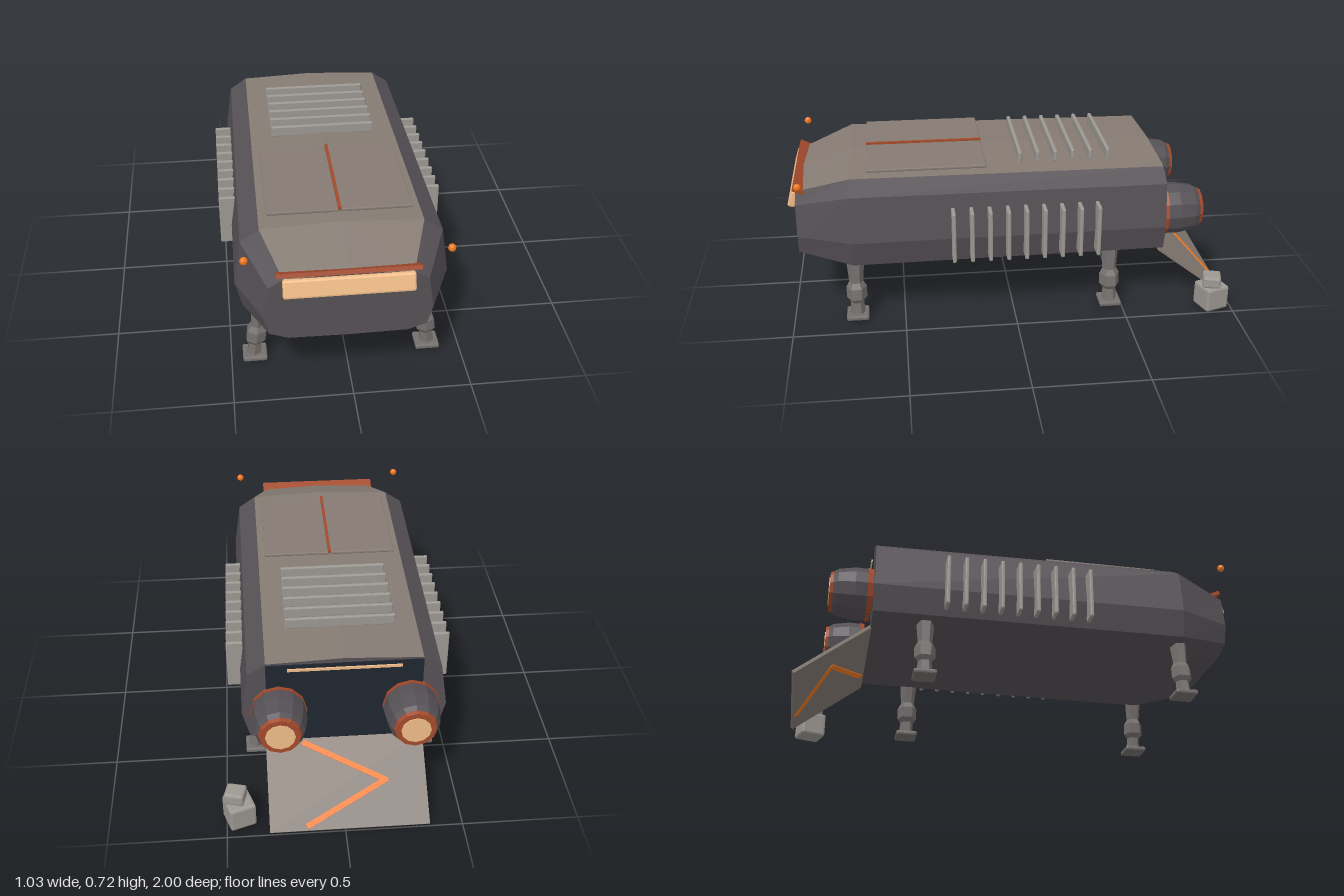
import * as THREE from 'three';
import { RoundedBoxGeometry } from 'three/addons/geometries/RoundedBoxGeometry.js';

const paint = (color) => new THREE.MeshStandardMaterial({ color, flatShading: true });

export function createModel() {
  const model = new THREE.Group();
  model.name = 'dropship';
  const ship = new THREE.Group();
  ship.name = 'ship';
  ship.position.x = -0.02;
  model.add(ship);

  const body = paint(0x555055), roofPaint = paint(0x857b73), metal = paint(0x9c9892);
  const legPaint = paint(0x74706e), orange = paint(0xa34a2c), bright = paint(0xf07820);
  const glow = paint(0xf0bc88), dark = paint(0x1f2630);

  const add = (name, geo, mat, x, y, z, parent = ship) => {
    const mesh = new THREE.Mesh(geo, mat);
    mesh.name = name;
    mesh.position.set(x, y, z);
    parent.add(mesh);
    return mesh;
  };
  const box = (w, h, d) => new THREE.BoxGeometry(w, h, d);
  const bevelBox = (w, h, d, r) => new RoundedBoxGeometry(w, h, d, 1, r);

  // Hull: one faceted section, scaled at three stations from tail to nose
  const half = [[0, 0.685], [0.34, 0.67], [0.42, 0.615], [0.45, 0.41], [0.42, 0.29], [0.32, 0.25], [0, 0.245]];
  const section = [...half, ...half.slice(1, -1).reverse().map(([x, y]) => [-x, y])];
  const n = section.length;
  const rings = [[-0.68, 0.97, 0.97], [0.72, 1, 1], [0.96, 0.767, 0.7]].map(([z, sx, sy]) =>
    section.map(([x, y]) => [x * sx, 0.4 + (y - 0.4) * sy, z]));
  const skin = (name, mat, isPart, caps) => {
    const pos = [];
    const tri = (...pts) => pts.forEach((p) => pos.push(...p));
    for (let i = 0; i < n; i++) {
      const j = (i + 1) % n;
      if (isPart(i)) {
        for (let r = 0; r < 2; r++) {
          const a = rings[r], b = rings[r + 1];
          tri(a[i], b[i], b[j]);
          tri(a[i], b[j], a[j]);
        }
      }
      if (caps) {
        tri([0, 0.42, -0.68], rings[0][i], rings[0][j]);
        tri([0, 0.42, 0.96], rings[2][j], rings[2][i]);
      }
    }
    const geo = new THREE.BufferGeometry();
    geo.setAttribute('position', new THREE.Float32BufferAttribute(pos, 3));
    geo.computeVertexNormals();
    add(name, geo, mat, 0, 0, 0);
  };
  const isRoof = (i) => i === 0 || i === n - 1;
  skin('roof', roofPaint, isRoof, false);
  skin('hull', body, (i) => !isRoof(i), true);

  // Roof hatch with centre seam
  add('roofHatch', bevelBox(0.61, 0.014, 0.53, 0.004), roofPaint, 0, 0.688, 0.38);
  add('hatchSeam', box(0.013, 0.014, 0.53), orange, 0, 0.697, 0.38);

  // Cooling fins on roof and flanks
  for (let i = 0; i < 6; i++) {
    add('roofFin', bevelBox(0.475, 0.05, 0.017, 0.005), metal, 0, 0.695, -0.043 - i * 0.08);
  }
  for (let i = 0; i < 9; i++) {
    for (const s of [-1, 1]) {
      add('sideFin', bevelBox(0.075, 0.235, 0.017, 0.005), metal, s * 0.46, 0.433, 0.275 - i * 0.08);
    }
  }

  // Cockpit window and visor
  add('cockpitWindow', bevelBox(0.53, 0.08, 0.034, 0.009), glow, 0, 0.553, 0.973).rotation.x = -0.3;
  add('visor', box(0.58, 0.018, 0.058), orange, 0, 0.6, 0.943).rotation.x = -0.45;

  // Rear bulkhead and light strip
  add('rearBulkhead', box(0.66, 0.4, 0.012), dark, 0, 0.455, -0.68);
  add('rearLight', box(0.48, 0.012, 0.012), glow, 0, 0.632, -0.686);

  // Engine, landing legs and beacons, mirrored across the hull
  const lathe = (pts, sides) => new THREE.LatheGeometry(pts.map((p) => new THREE.Vector2(...p)), sides);
  const legGeo = lathe([[0, 0.28], [0.04, 0.28], [0.032, 0.18], [0.046, 0.155], [0.046, 0.105],
    [0.03, 0.085], [0.034, 0.03], [0, 0.03]].reverse(), 6);
  // Lean the leg outwards towards the foot
  const leanLeg = (s) => {
    const geo = legGeo.clone(), p = geo.attributes.position;
    for (let i = 0; i < p.count; i++) p.setX(i, p.getX(i) - s * 0.13 * p.getY(i));
    return geo;
  };
  for (const s of [-1, 1]) {
    const engine = new THREE.Group();
    engine.name = 'engine';
    engine.position.set(s * 0.28, 0.432, -0.68);
    engine.rotation.x = -Math.PI / 2;
    ship.add(engine);
    add('engineHousing', lathe([[0.116, 0], [0.118, 0.08], [0.105, 0.155], [0.09, 0.178], [0, 0.178]], 12), body, 0, 0, 0, engine);
    add('engineCollar', new THREE.CylinderGeometry(0.121, 0.116, 0.025, 12), orange, 0, 0.014, 0, engine);
    add('nozzleRing', lathe([[0.096, 0.165], [0.086, 0.19], [0.062, 0.19], [0.062, 0.165]], 12), orange, 0, 0, 0, engine);
    add('engineGlow', new THREE.CylinderGeometry(0.063, 0.063, 0.02, 12), glow, 0, 0.184, 0, engine);

    for (const z of [0.715, -0.445]) {
      add('landingLeg', leanLeg(s), legPaint, s * 0.385, 0, z);
      add('footPad', bevelBox(0.105, 0.022, 0.1, 0.007), legPaint, s * 0.378, 0.021, z);
    }
    add('beacon', new THREE.SphereGeometry(0.017, 8, 6), bright, s * 0.41, 0.673, 0.935);
  }

  // Loading ramp with chevron marking
  const ramp = new THREE.Group();
  ramp.name = 'ramp';
  ramp.position.set(0, 0.128, -0.838);
  ramp.rotation.x = -0.66;
  ship.add(ramp);
  add('rampPlate', box(0.68, 0.014, 0.395), roofPaint, 0, 0, 0, ramp);
  for (const s of [-1, 1]) {
    add('rampChevron', box(0.4, 0.022, 0.024), bright, 0.005, 0, s * 0.088, ramp).rotation.y = -s * 0.48;
  }

  // Cargo crates beside the ramp
  add('largeCrate', bevelBox(0.115, 0.112, 0.115, 0.01), metal, 0.445, 0.067, -0.907, model).rotation.y = 0.33;
  add('smallCrate', bevelBox(0.085, 0.055, 0.08, 0.01), metal, 0.458, 0.151, -0.9, model).rotation.y = -0.25;

  return model;
}
